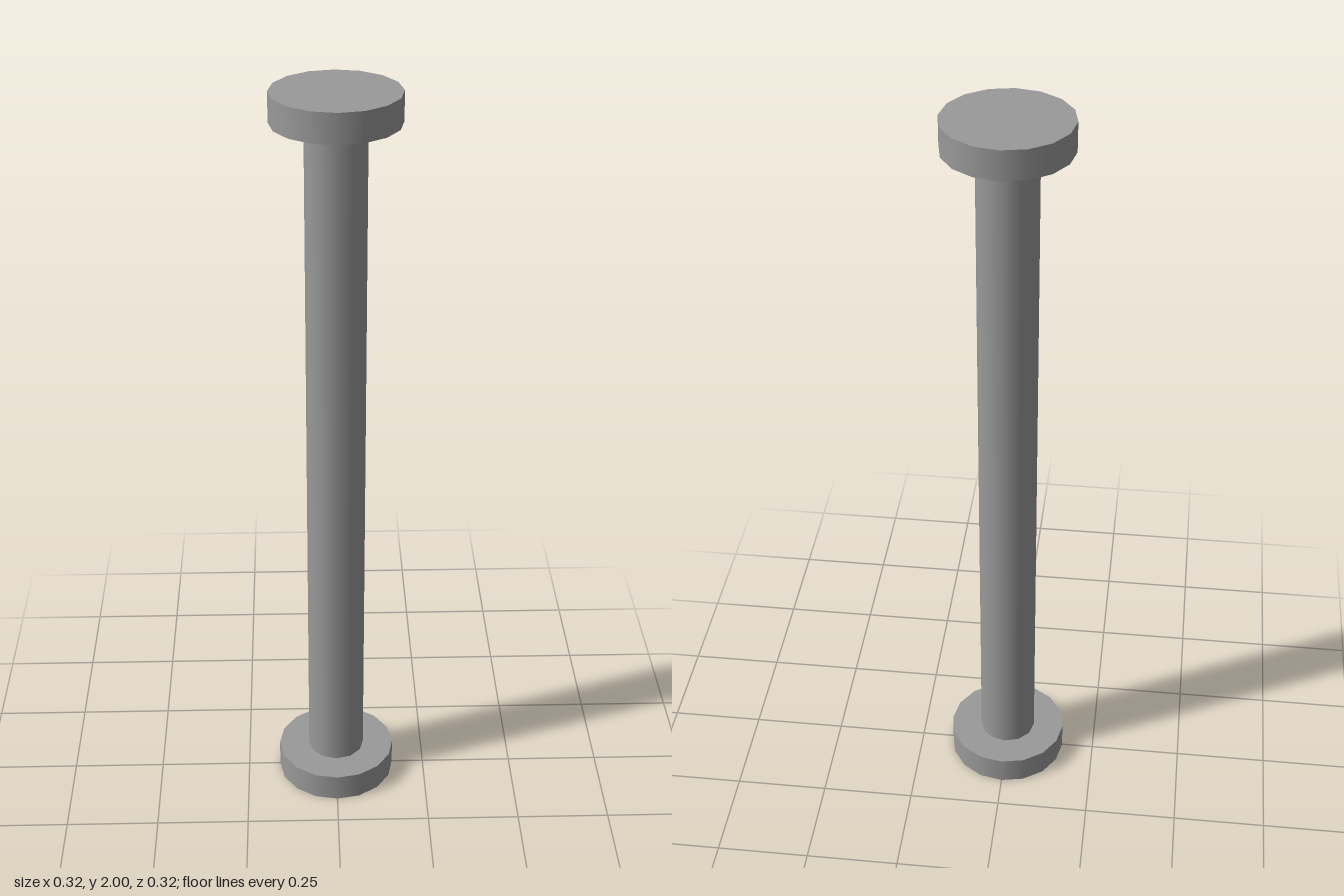
import * as THREE from 'three';

export function createModel() {
  const model = new THREE.Group();
  const material = new THREE.MeshStandardMaterial({ color: 0x9a9a9a });
  const height = 2;
  const flangeHeight = 0.076;

  // Upright cylinder standing on the given base height
  function addCylinder(name, radius, length, base, sides) {
    const mesh = new THREE.Mesh(new THREE.CylinderGeometry(radius, radius, length, sides), material);
    mesh.name = name;
    mesh.position.y = base + length / 2;
    model.add(mesh);
  }

  // Wide 16-sided discs at both ends, joined by a slim 12-sided shaft
  addCylinder('bottomFlange', 0.161, flangeHeight, 0, 16);
  addCylinder('shaft', 0.077, height - 2 * flangeHeight, flangeHeight, 12);
  addCylinder('topFlange', 0.161, flangeHeight, height - flangeHeight, 16);

  return model;
}
